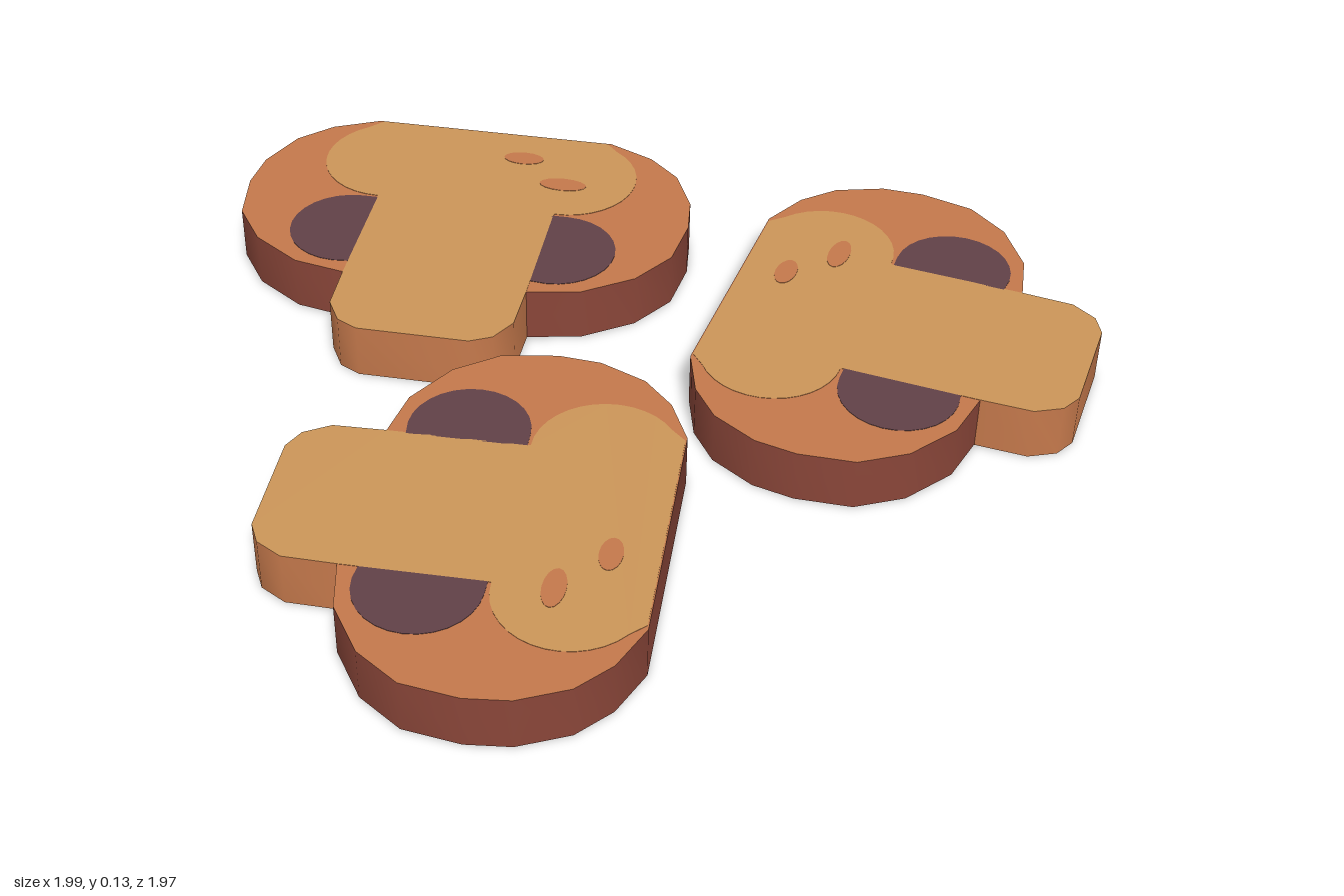
import * as THREE from 'three';
import { toCreasedNormals } from 'three/addons/utils/BufferGeometryUtils.js';

const THICK = 0.133;

const material = (name, color) => {
  const m = new THREE.MeshStandardMaterial({ color });
  m.name = name;
  return m;
};

// Points along a circular arc
function arc(cx, cy, r, a0, a1, n) {
  return Array.from({ length: n + 1 }, (_, i) => {
    const a = a0 + (a1 - a0) * i / n;
    return [cx + r * Math.cos(a), cy + r * Math.sin(a)];
  });
}

// Mirror a right-hand half outline into a closed one
const mirrored = half => [...half, ...half.map(([x, y]) => [-x, y]).reverse()];

// Flat slab lying in the xz plane, centred in the slice's thickness
function slab(points, thickness) {
  const shape = new THREE.Shape(points.map(([x, y]) => new THREE.Vector2(x, y)));
  const geo = new THREE.ExtrudeGeometry(shape, { depth: thickness, bevelEnabled: false });
  geo.rotateX(Math.PI / 2);
  geo.translate(0, (THICK + thickness) / 2, 0);
  return toCreasedNormals(geo, 0.7);
}

export function createModel() {
  const flesh = material('pale flesh', 0xcc9658);
  const capFlesh = material('orange flesh', 0xc5794c);
  const skin = material('cap skin', 0x8a4639);
  const gill = material('gills', 0x614147);

  // Cap: wide rounded outline, w = 0 at the flat crown
  const capHalf = [[0.3, 0], [0.41, 0.05], [0.485, 0.12], [0.535, 0.23], [0.545, 0.33],
    [0.525, 0.46], [0.455, 0.56], [0.34, 0.635], [0.21, 0.66]];
  // Pale core: rounded crown running down into the stem
  const coreHalf = [[0.29, 0.003], ...arc(0.225, 0.17, 0.165, -0.95, 1.6, 14), [0.218, 0.345],
    [0.218, 0.66], [0.215, 0.78], [0.18, 0.84], [0.13, 0.865]];
  // Gill half-disc beside the stem
  const gillHalf = [[0.215, 0.342], ...arc(0.255, 0.48, 0.138, -Math.PI / 2, Math.PI / 2, 14), [0.215, 0.614]];

  const parts = [
    ['cap', slab(mirrored(capHalf), THICK - 0.004), [capFlesh, skin]],
    ['stemAndCore', slab(mirrored(coreHalf), THICK - 0.002), [flesh, capFlesh]],
    ['leftGill', slab(gillHalf, THICK - 0.002), gill],
    ['rightGill', slab(gillHalf.map(([x, y]) => [-x, y]), THICK - 0.002), gill],
  ];
  // Small oval flecks on the crown, showing on both faces
  [[0.097, 0.107, 0.05], [0.215, 0.206, 0.058]].forEach(([x, y, r], i) => {
    const oval = arc(0, 0, 1, 0, Math.PI * 2, 16).slice(0, -1).map(([a, b]) => [x + a * r, y + b * 0.026]);
    parts.push([`fleck${i + 1}`, slab(oval, THICK), capFlesh]);
  });

  // Three slices laid on the ground: x, z, turn, scale
  const model = new THREE.Group();
  model.name = 'mushroomSlices';
  [[0.227, -0.732, -Math.PI / 4, 1], [-0.286, 0.724, -2.335, 0.965], [0.327, 0.125, 0.602, 0.965]]
    .forEach(([x, z, turn, scale], i) => {
      const slice = new THREE.Group();
      slice.name = `slice${i + 1}`;
      for (const [name, geo, mat] of parts) {
        const mesh = new THREE.Mesh(geo, mat);
        mesh.name = name;
        slice.add(mesh);
      }
      slice.position.set(x, 0, z);
      slice.rotation.y = turn;
      slice.scale.setScalar(scale);
      model.add(slice);
    });
  return model;
}
